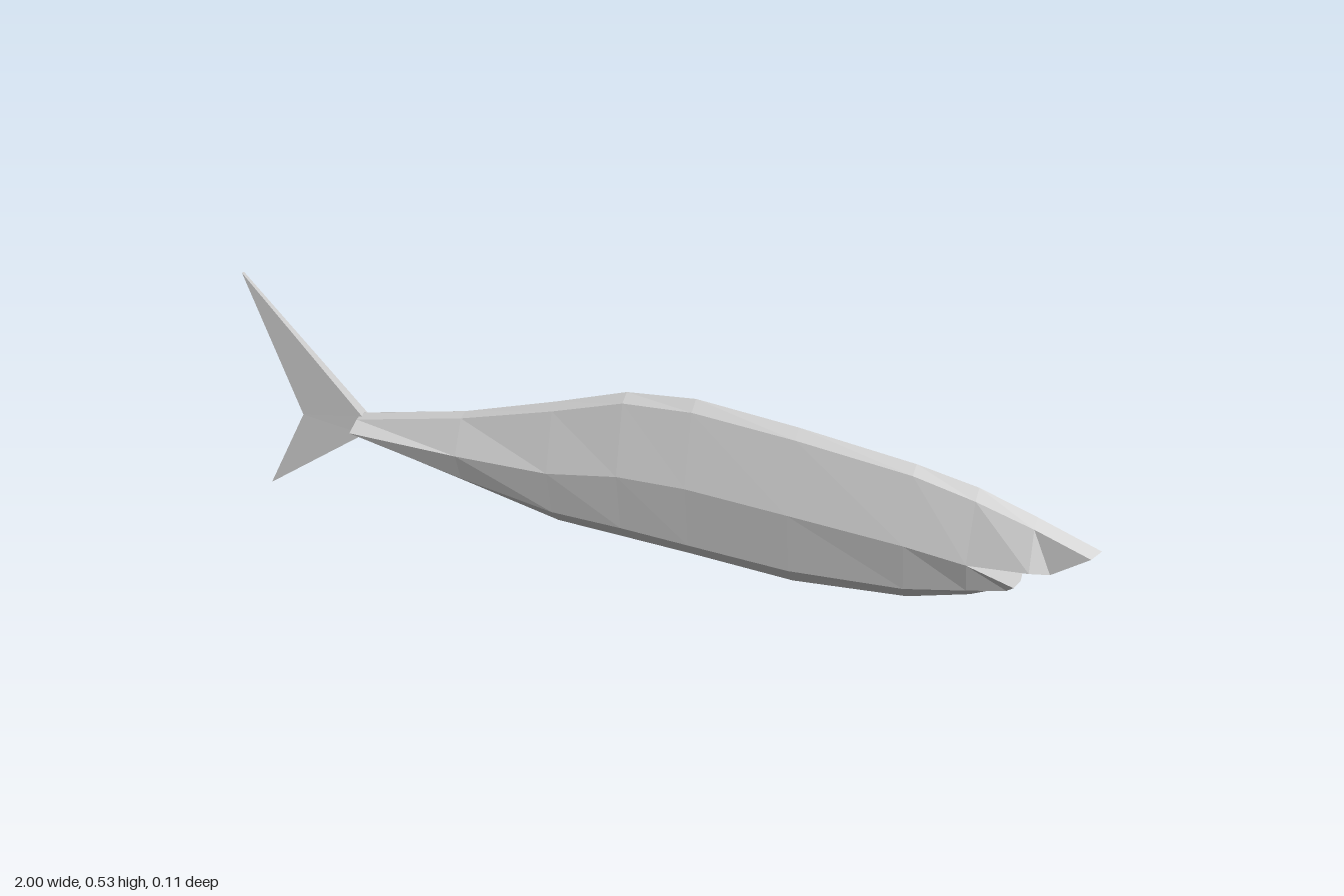
import * as THREE from 'three';

// Joins rings of [x, y, z] points in order and closes the ends asked for.
function loft(rings, capStart, capEnd) {
  const pos = [];
  const tri = (a, b, c) => pos.push(...a, ...b, ...c);
  const n = rings[0].length;
  for (let i = 0; i < rings.length - 1; i++) {
    for (let j = 0; j < n; j++) {
      const k = (j + 1) % n;
      const a = rings[i][j], b = rings[i][k], c = rings[i + 1][k], d = rings[i + 1][j];
      tri(a, b, c);
      tri(a, c, d);
    }
  }
  const first = rings[0], last = rings[rings.length - 1];
  for (let j = 1; j < n - 1; j++) {
    if (capStart) tri(first[0], first[j + 1], first[j]);
    if (capEnd) tri(last[0], last[j], last[j + 1]);
  }
  const geo = new THREE.BufferGeometry();
  geo.setAttribute('position', new THREE.Float32BufferAttribute(pos, 3));
  geo.computeVertexNormals();
  return geo;
}

// Completes a half section (top centre to bottom centre) with its mirror image.
const mirror = (half) => [
  ...half,
  ...half.slice(1, -1).reverse().map(([x, y, z]) => [x, y, -z]),
];

export function createModel() {
  const group = new THREE.Group();
  const grey = new THREE.MeshStandardMaterial({ color: 0xcccccc, flatShading: true });
  grey.name = 'fish grey';
  const add = (name, geo) => {
    const mesh = new THREE.Mesh(geo, grey);
    mesh.name = name;
    group.add(mesh);
  };

  // Body stations: x, then heights of ridge, shoulder, side, lower edge, keel
  const W = 0.055, S = 0.022, L = 0.034;
  const stations = [
    [-0.70, 0.232, 0.224, 0.203, 0.190, 0.180],
    [-0.42, 0.290, 0.281, 0.201, 0.137, 0.112],
    [-0.19, 0.357, 0.342, 0.206, 0.102, 0.066],
    [-0.02, 0.411, 0.393, 0.234, 0.100, 0.061],
    [0.14, 0.425, 0.402, 0.239, 0.094, 0.056],
    [0.37, 0.404, 0.384, 0.227, 0.086, 0.046],
    [0.62, 0.373, 0.356, 0.213, 0.104, 0.069],
    [0.75, 0.348, 0.327, 0.200, 0.132, 0.106],
  ];
  const body = stations.map(([x, ridge, shoulder, side, low, keel]) => mirror([
    [x, ridge, 0], [x, shoulder, S], [x, side, W], [x, low, L], [x, keel, 0],
  ]));
  add('body', loft(body, true, false));

  // Upper jaw with a slanted snout
  add('upperJaw', loft([
    [[0.75, 0.348, 0], [0.75, 0.327, S], [0.75, 0.200, W], [0.75, 0.200, 0]],
    [[0.87, 0.309, 0], [0.87, 0.292, S], [0.875, 0.211, W], [0.87, 0.205, 0]],
    [[1.00, 0.263, 0], [0.985, 0.252, S], [0.91, 0.200, S], [0.905, 0.192, 0]],
  ].map(mirror), false, true));

  // Lower jaw
  add('lowerJaw', loft([
    [[0.75, 0.200, 0], [0.75, 0.200, W], [0.75, 0.132, L], [0.75, 0.106, 0]],
    [[0.85, 0.161, 0], [0.845, 0.163, 0.038], [0.83, 0.149, 0.03], [0.82, 0.138, 0]],
  ].map(mirror), false, true));

  // Forked tail fin: x, y, half thickness
  const fin = [
    [-0.86, 0.200, 0.007], [-0.97, 0.000, 0.008], [-0.69, 0.184, 0.012],
    [-0.69, 0.228, 0.012], [-1.00, 0.530, 0.004],
  ];
  add('tailFin', loft([-1, 1].map((s) => fin.map(([x, y, t]) => [x, y, s * t])), true, true));

  return group;
}
